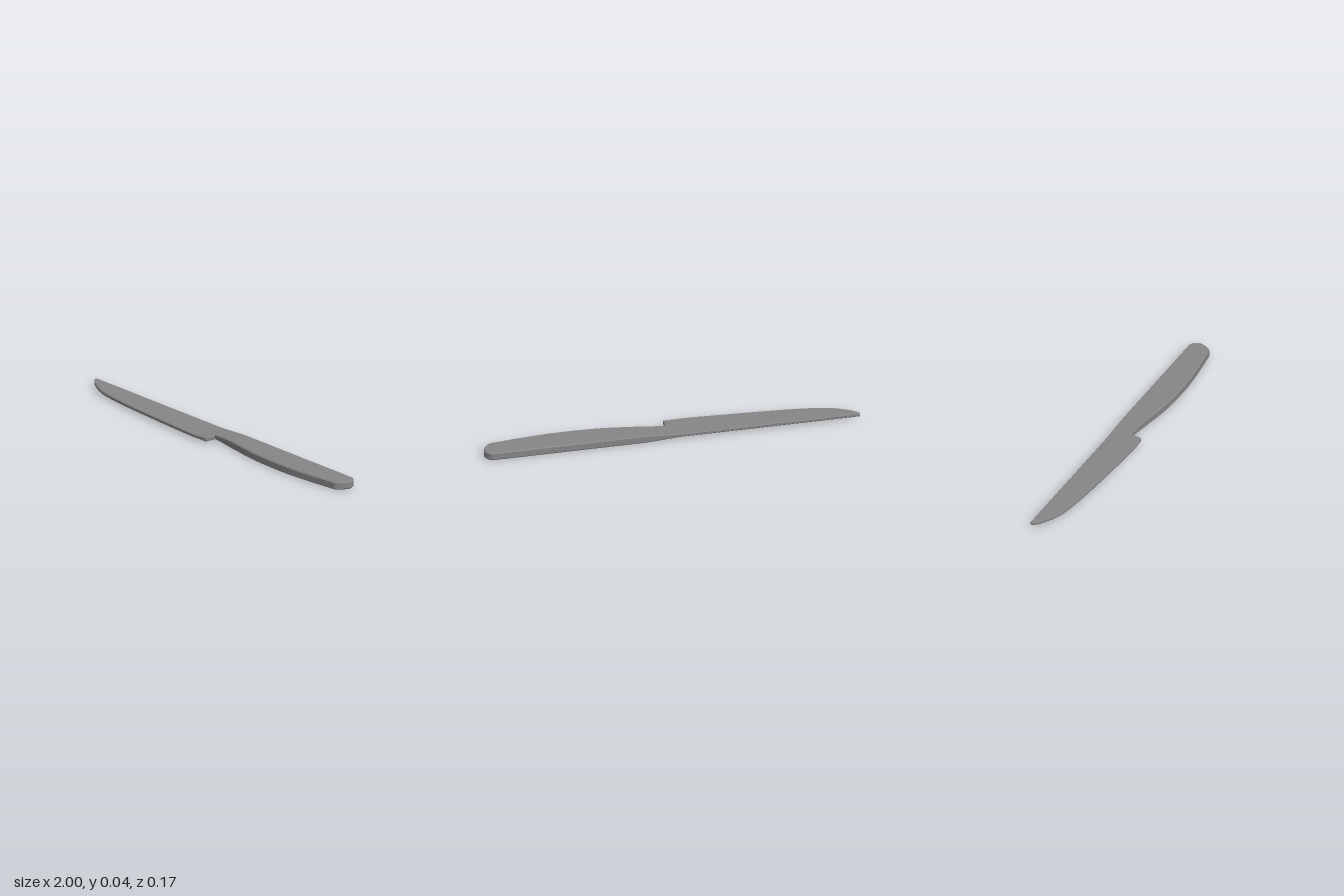
import * as THREE from 'three';
import { toCreasedNormals } from 'three/addons/utils/BufferGeometryUtils.js';

const SPINE = -0.085;   // z of the straight back edge
const MID = 0.0215;     // y of the middle plane
const BLADE = 0.0095;   // half thickness of the blade
const HANDLE = 0.0215;  // half thickness of the handle

const spline = (pts, n) =>
  new THREE.SplineCurve(pts.map(([x, z]) => new THREE.Vector2(x, z))).getPoints(n);

// How far the blade has swelled into the handle at x, from 0 to 1
const swell = (x) => THREE.MathUtils.clamp((x + 0.04) / 0.18, 0, 1);

function bodyGeometry() {
  // Cutting edge, from tip to heel
  const edge = spline([[-1, -0.07], [-0.97, -0.041], [-0.93, -0.017], [-0.88, 0.008],
    [-0.8, 0.031], [-0.61, 0.054], [-0.29, 0.076], [-0.12, 0.085], [-0.05, 0.085],
    [0.013, 0.079]], 36);
  // Underside of the grip, from the notch to the butt
  const grip = spline([[0.02, 0.018], [0.08, 0.022], [0.19, 0.036], [0.3, 0.053],
    [0.4, 0.063], [0.54, 0.067], [0.66, 0.064], [0.83, 0.049], [0.955, 0.034]], 32);
  const front = [...edge, ...grip];
  const back = front.map((p) => new THREE.Vector2(p.x, SPINE));

  // Rounded butt: pairs of front and back points closing in
  for (const [fx, fz, bx, bz] of [[0.97, 0.022, 0.966, SPINE], [0.984, 0.002, 0.98, -0.077],
    [0.994, -0.018, 0.991, -0.064], [1, -0.036, 0.998, -0.05]]) {
    front.push(new THREE.Vector2(fx, fz));
    back.push(new THREE.Vector2(bx, bz));
  }

  // Closed outline with an outward mitre at each point
  const outline = [...front, ...back.slice().reverse()];
  const n = outline.length;
  const normal = (a, b) => new THREE.Vector2(a.y - b.y, b.x - a.x).normalize();
  const mitres = outline.map((p, i) => {
    const a = normal(outline[(i + n - 1) % n], p);
    const b = normal(p, outline[(i + 1) % n]);
    return a.clone().add(b).divideScalar(Math.max(1 + a.dot(b), 0.6));
  });

  // Stacked copies of the outline, chamfered at the lower and upper rims
  const layers = [[1, -1], [0, -1], [0, 1], [1, 1]];
  const positions = [];
  for (const [inset, side] of layers) {
    outline.forEach((p, i) => {
      const s = swell(p.x);
      const half = THREE.MathUtils.lerp(BLADE, HANDLE, s);
      const r = THREE.MathUtils.lerp(0.004, 0.006, s);
      positions.push(p.x - mitres[i].x * r * inset,
        MID + side * (half - r * (1 - inset)),
        p.y - mitres[i].y * r * inset);
    });
  }

  const index = [];
  const quad = (a, b, c, d) => index.push(a, b, c, a, c, d);
  // Side wall
  for (let l = 0; l < layers.length - 1; l++) {
    for (let i = 0; i < n; i++) {
      const j = (i + 1) % n;
      quad(l * n + i, l * n + j, (l + 1) * n + j, (l + 1) * n + i);
    }
  }
  // Lower and upper faces, as strips from front to back
  const top = (layers.length - 1) * n;
  for (let i = 0; i < front.length - 1; i++) {
    const a = i, b = i + 1, c = n - 2 - i, d = n - 1 - i;
    quad(top + a, top + b, top + c, top + d);
    quad(d, c, b, a);
  }

  const geometry = new THREE.BufferGeometry();
  geometry.setAttribute('position', new THREE.Float32BufferAttribute(positions, 3));
  geometry.setIndex(index);
  return toCreasedNormals(geometry, 0.5);
}

export function createModel() {
  const group = new THREE.Group();
  group.name = 'knife';
  const body = new THREE.Mesh(bodyGeometry(), new THREE.MeshStandardMaterial({ color: 0x868686 }));
  body.name = 'bladeAndHandle';
  group.add(body);
  return group;
}
